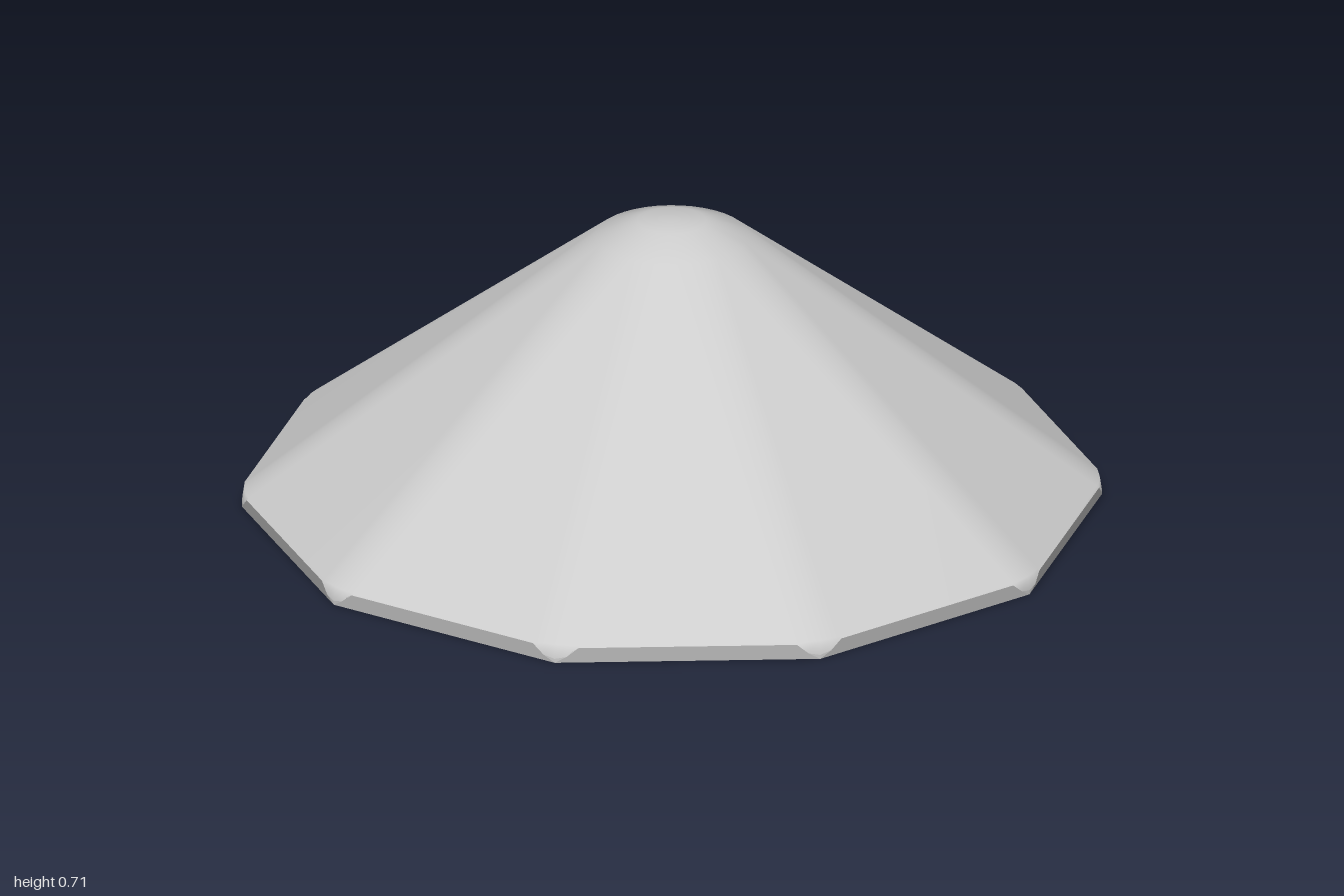
import * as THREE from 'three';
import { mergeVertices } from 'three/addons/utils/BufferGeometryUtils.js';

const SIDES = 10;
const STEP = (Math.PI * 2) / SIDES;
const ROUND = 0.178; // radius of the rounded ridges
const ARC = [-0.5, -0.25, 0, 0.25, 0.5]; // points across each ridge, in STEPs
const DIP = [0.04, 0.017, 0.01, 0.017, 0.04]; // rim height across each ridge

// Decagon ring with rounded corners; becomes a circle when apothem <= ROUND
function roundedRing(apothem, height) {
  const r = Math.min(apothem, ROUND);
  const centre = (apothem - r) / Math.cos(STEP / 2);
  const ring = [];
  for (let k = 0; k < SIDES; k++) {
    ARC.forEach((t, j) => {
      const a = k * STEP, b = a + t * STEP;
      ring.push([
        centre * Math.sin(a) + r * Math.sin(b),
        Array.isArray(height) ? height[j] : height,
        centre * Math.cos(a) + r * Math.cos(b),
      ]);
    });
  }
  return ring;
}

// Sharp decagon with one repeated point per ridge point
function sharpRing(radius, y) {
  const ring = [];
  for (let k = 0; k < SIDES; k++) {
    for (const _ of ARC) ring.push([radius * Math.sin(k * STEP), y, radius * Math.cos(k * STEP)]);
  }
  return ring;
}

// Skin between rings listed from bottom to top
function loft(rings) {
  const n = rings[0].length, index = [];
  for (let i = 0; i < rings.length - 1; i++) {
    for (let j = 0; j < n; j++) {
      const a = i * n + j, b = i * n + ((j + 1) % n);
      index.push(a, b, b + n, a, b + n, a + n);
    }
  }
  const geo = new THREE.BufferGeometry();
  geo.setAttribute('position', new THREE.Float32BufferAttribute(rings.flat(2), 3));
  geo.setIndex(index);
  return geo;
}

export function createModel() {
  const group = new THREE.Group();
  group.name = 'roundedPyramid';
  const grey = new THREE.MeshStandardMaterial({ color: 0xcccccc });
  grey.name = 'light grey';
  const add = (name, geo) => {
    const mesh = new THREE.Mesh(geo, grey);
    mesh.name = name;
    group.add(mesh);
    return mesh;
  };

  // Sloping ten-sided roof with soft ridges and a blunt top
  const rim = roundedRing(0.96, DIP);
  const roof = mergeVertices(loft([
    rim,
    roundedRing(0.955, 0.044),
    roundedRing(ROUND, 0.67),
    roundedRing(0.08, 0.707),
    roundedRing(0, 0.709),
  ]), 1e-4);
  roof.computeVertexNormals();
  add('roof', roof);

  // Narrow skirt that tapers in to the base
  const skirt = loft([sharpRing(1, 0), rim]).toNonIndexed();
  skirt.computeVertexNormals();
  add('skirt', skirt);

  // Flat underside, its corners on the z axis
  const base = new THREE.CircleGeometry(1, SIDES, Math.PI / 2);
  add('base', base).rotation.x = Math.PI / 2;

  return group;
}
